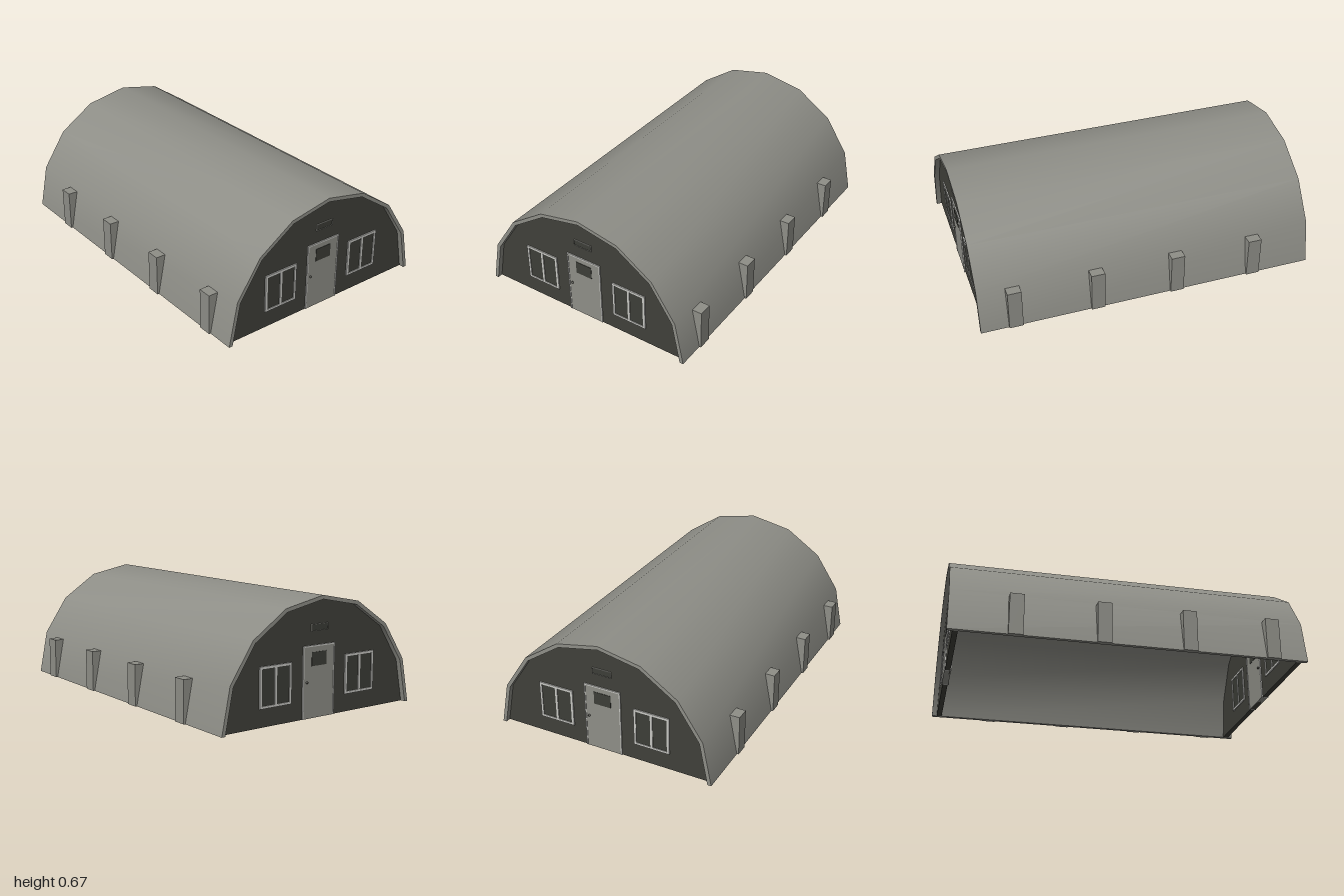
import * as THREE from 'three';
import { toCreasedNormals } from 'three/addons/utils/BufferGeometryUtils.js';

const material = (name, color) => {
  const m = new THREE.MeshStandardMaterial({ color });
  m.name = name;
  return m;
};

const OUTER = 0.665, INNER = 0.643, SEGMENTS = 8;
const WALL = 0.03, WALL_Z = 0.955; // end wall thickness and centre

// points of the eight-sided half arch, from +x over the top to -x
function arch(r) {
  return Array.from({ length: SEGMENTS + 1 }, (_, i) => {
    const a = (i / SEGMENTS) * Math.PI;
    return new THREE.Vector2(r * Math.cos(a), Math.max(0, r * Math.sin(a)));
  });
}

function rect(Type, x0, y0, x1, y1) {
  return new Type([[x0, y0], [x1, y0], [x1, y1], [x0, y1]].map(p => new THREE.Vector2(...p)));
}

// extrusion centred on z = 0
function slab(shape, depth) {
  const g = new THREE.ExtrudeGeometry(shape, { depth, bevelEnabled: false });
  return g.translate(0, 0, -depth / 2);
}

function add(parent, name, geometry, mat) {
  const mesh = new THREE.Mesh(geometry, mat);
  mesh.name = name;
  parent.add(mesh);
  return mesh;
}

export function createModel() {
  const model = new THREE.Group();
  model.name = 'archedHut';
  const shell = material('greyMetal', 0x8e8e87);
  const dark = material('darkWall', 0x40403a);
  const glass = material('darkGlass', 0x3c3d37);
  const trim = material('paleTrim', 0xc6c6c2);
  const knobMat = material('knobMetal', 0x55554f);

  // arched roof shell, smooth around the curve and sharp at the ends
  const roofShape = new THREE.Shape([...arch(OUTER), ...arch(INNER).reverse()]);
  add(model, 'roof', toCreasedNormals(slab(roofShape, 2), 0.6), shell);

  // wedge buttresses along both sides
  for (const side of [1, -1]) {
    const wedge = new THREE.Shape([[0.657, 0], [0.675, 0], [0.675, 0.24], [0.612, 0.24]]
      .map(([x, y]) => new THREE.Vector2(side * x, y)));
    for (const z of [0.8, 0.32, -0.16, -0.64]) {
      add(model, 'buttress', slab(wedge, 0.08), shell).position.z = z;
    }
  }

  // end walls; fittings run through so they show inside as well
  for (const end of [1, -1]) {
    const wall = new THREE.Group();
    wall.name = end > 0 ? 'frontWall' : 'backWall';
    wall.position.z = end * WALL_Z;
    if (end < 0) wall.rotation.y = Math.PI;
    model.add(wall);
    add(wall, 'wallPanel', slab(new THREE.Shape(arch(INNER)), WALL), dark);

    // paired windows
    for (const side of [1, -1]) {
      const x = side * 0.298;
      const frame = rect(THREE.Shape, x - 0.107, 0.1, x + 0.107, 0.323);
      for (const s of [1, -1]) {
        const c = x + s * 0.05;
        frame.holes.push(rect(THREE.Path, c - 0.043, 0.113, c + 0.043, 0.31));
      }
      add(wall, 'windowFrame', slab(frame, WALL + 0.014), trim);
      add(wall, 'windowGlass', slab(rect(THREE.Shape, x - 0.1, 0.107, x + 0.1, 0.316), WALL + 0.006), glass);
    }

    // door with frame, small window and knobs
    const doorFrame = new THREE.Shape([[-0.112, 0], [-0.105, 0], [-0.105, 0.39], [0.105, 0.39],
      [0.105, 0], [0.112, 0], [0.112, 0.398], [-0.112, 0.398]].map(p => new THREE.Vector2(...p)));
    add(wall, 'doorFrame', slab(doorFrame, WALL + 0.014), trim);
    add(wall, 'door', slab(rect(THREE.Shape, -0.105, 0, 0.105, 0.39), WALL + 0.008), shell);
    add(wall, 'doorWindow', slab(rect(THREE.Shape, -0.052, 0.285, 0.052, 0.36), WALL + 0.012), glass);
    for (const s of [1, -1]) {
      add(wall, 'doorKnob', new THREE.SphereGeometry(0.007, 10, 8), knobMat)
        .position.set(-0.086, 0.2, s * (WALL / 2 + 0.008));
    }

    // vent above the door with a thin rim
    const rim = rect(THREE.Shape, -0.056, 0.473, 0.06, 0.511);
    rim.holes.push(rect(THREE.Path, -0.053, 0.476, 0.057, 0.508));
    add(wall, 'ventRim', slab(rim, WALL + 0.012), shell);
    add(wall, 'ventPanel', slab(rect(THREE.Shape, -0.054, 0.475, 0.058, 0.509), WALL + 0.006), glass);
  }
  return model;
}
